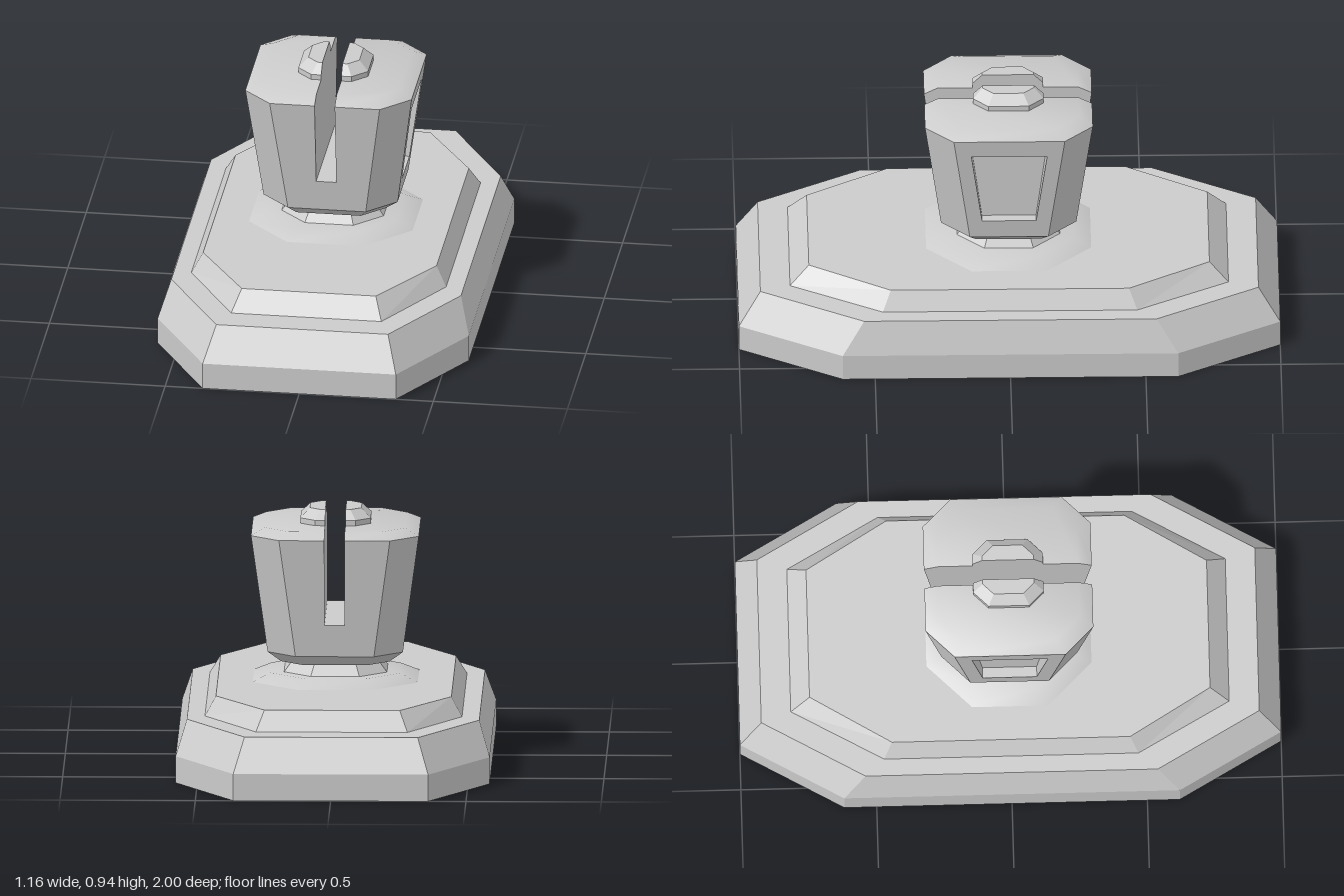
import * as THREE from 'three';
import { toCreasedNormals } from 'three/addons/utils/BufferGeometryUtils.js';

const SLOT = 0.0375; // half width of the slot through the head
const SLOT_FLOOR = 0.53;
const SIDE = 2, OTHER_SIDE = 6; // ring edges facing +x and -x

// Octagonal ring, counter-clockwise seen from above
const oct = (y, hx, cx, hz = hx, cz = cx) => [
  [-cx, hz], [cx, hz], [hx, cz], [hx, -cz], [cx, -hz], [-cx, -hz], [-hx, -cz], [-hx, cz],
].map(([x, z]) => [x, y, z]);

// The +x half of an octagonal ring, cut off at the slot
const halfOct = (y, h, c) => [
  [SLOT, h], [c, h], [h, c], [h, -c], [c, -h], [SLOT, -h],
].map(([x, z]) => [x, y, z]);

// Skin between successive rings, with optional end caps and omitted edges
function loft(rings, { top = true, bottom = false, skip = [], crease = 0 } = {}) {
  const pos = [];
  const face = (p) => {
    for (let i = 1; i < p.length - 1; i++) pos.push(...p[0], ...p[i], ...p[i + 1]);
  };
  for (let r = 0; r < rings.length - 1; r++) {
    const a = rings[r], b = rings[r + 1];
    a.forEach((_, i) => {
      const j = (i + 1) % a.length;
      if (!skip.includes(i)) face([a[i], a[j], b[j], b[i]]);
    });
  }
  if (top) face(rings[rings.length - 1]);
  if (bottom) face([...rings[0]].reverse());
  const g = new THREE.BufferGeometry();
  g.setAttribute('position', new THREE.Float32BufferAttribute(pos, 3));
  g.computeVertexNormals();
  return crease ? toCreasedNormals(g, crease) : g;
}

// Half width and corner position of the flared head at a height
const headAt = (y) => {
  const t = (y - 0.41) / 0.445;
  return [0.25 + 0.06 * t, 0.145 + 0.06 * t];
};

export function createModel() {
  const model = new THREE.Group();
  const grey = new THREE.MeshStandardMaterial({ color: 0xcccccc });
  const add = (parent, name, geometry) => {
    const mesh = new THREE.Mesh(geometry, grey);
    mesh.name = name;
    parent.add(mesh);
    return mesh;
  };

  // Stepped, elongated base
  add(model, 'base', loft([
    oct(0, 0.58, 0.36, 1, 0.62),
    oct(0.1, 0.58, 0.36, 1, 0.62),
    oct(0.225, 0.54, 0.32, 0.92, 0.54),
    oct(0.225, 0.475, 0.28, 0.81, 0.47),
    oct(0.295, 0.435, 0.25, 0.74, 0.44),
  ], { bottom: true }));

  // Soft collar and the tapered neck standing on it
  add(model, 'collar', loft([oct(0.295, 0.305, 0.14), oct(0.325, 0.24, 0.11)], { crease: 0.6 }));
  add(model, 'neck', loft([oct(0.325, 0.19, 0.09), oct(0.372, 0.155, 0.075)]));

  const head = new THREE.Group();
  head.name = 'head';
  model.add(head);

  // Undercut and the lower body up to the slot floor
  add(head, 'headUnderside', loft([oct(0.37, 0.2, 0.12), oct(0.41, 0.25, 0.145)], { top: false, bottom: true }));
  add(head, 'lowerBody', loft(
    [oct(0.41, ...headAt(0.41)), oct(SLOT_FLOOR, ...headAt(SLOT_FLOOR))],
    { top: false, skip: [SIDE, OTHER_SIDE] },
  ));
  const h = headAt(SLOT_FLOOR)[0];
  add(head, 'slotFloor', loft([
    [[-SLOT, SLOT_FLOOR, h], [SLOT, SLOT_FLOOR, h], [SLOT, SLOT_FLOOR, -h], [-SLOT, SLOT_FLOOR, -h]],
  ]));

  // Corners of a trapezoid on the +x side of the head
  const sidePanel = (y0, c0, y1, c1, x0 = headAt(y0)[0], x1 = headAt(y1)[0]) => [
    [x0, y0, c0], [x0, y0, -c0], [x1, y1, -c1], [x1, y1, c1],
  ];

  // Two mirrored halves on either side of the slot
  for (const side of ['left', 'right']) {
    const half = new THREE.Group();
    half.name = side + 'HeadHalf';
    if (side === 'right') half.rotation.y = Math.PI;
    head.add(half);

    add(half, side + 'UpperBody', loft(
      [halfOct(SLOT_FLOOR, ...headAt(SLOT_FLOOR)), halfOct(0.855, ...headAt(0.855))],
      { top: false, skip: [SIDE] },
    ));
    // Side face with a recessed window
    add(half, side + 'Window', loft([
      sidePanel(0.41, headAt(0.41)[1], 0.855, headAt(0.855)[1]),
      sidePanel(0.485, 0.1, 0.785, 0.14),
      sidePanel(0.485, 0.1, 0.785, 0.14, 0.22, 0.22),
    ]));
    add(half, side + 'Roof', loft(
      [halfOct(0.855, 0.31, 0.205), halfOct(0.88, 0.26, 0.17)],
      { crease: 0.6 },
    ));
    add(half, side + 'Knob', loft([
      halfOct(0.875, 0.13, 0.075),
      halfOct(0.9, 0.13, 0.075),
      halfOct(0.935, 0.095, 0.055),
    ]));
  }
  return model;
}
